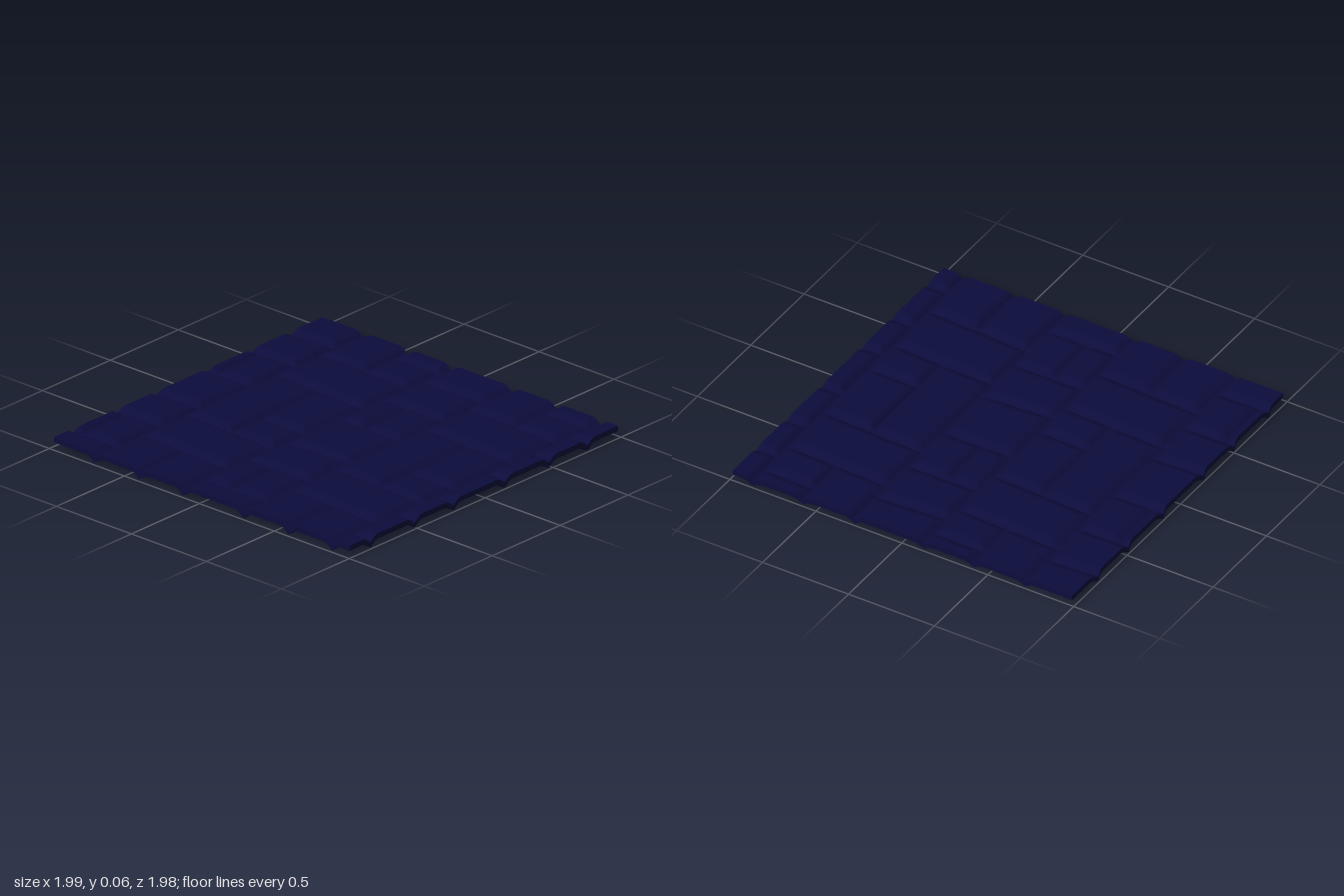
import * as THREE from 'three';
import { ParametricGeometry } from 'three/addons/geometries/ParametricGeometry.js';

// Tile extents, repeat of the paving pattern and groove section
const X0 = -0.988, X1 = 0.986, Z0 = -0.995, Z1 = 0.981;
const PERIOD = 0.988, TOP = 0.062, THICK = 0.028, DEPTH = 0.031, REACH = 0.06;
const N = 165;

// Joints between stones in one repeat: [xa, za, xb, zb]
const JOINTS = [
  [-0.70, -0.675, -0.71, -0.35], [-0.70, -0.35, -0.715, 0.31],  // long column joints
  [-0.12, -0.67, -0.12, 0.325],
  [-0.41, -0.345, -0.41, 0.31],                                 // split of the wide column
  [-0.70, -0.358, -0.41, -0.345], [-0.41, -0.345, -0.12, -0.332],
  [-0.70, 0.303, -0.41, 0.312], [-0.41, 0.312, -0.12, 0.326],
  [-0.41, 0.09, -0.12, 0.095],                                  // small square stone
  [-0.12, 0.225, 0.285, 0.20], [-0.12, 0.505, 0.285, 0.50],     // narrow column courses
  [-0.12, 0.83, 0.285, 0.825],
  [0.05, 0.505, 0.05, 0.83],                                    // split pair
];

// Repeat the joints over the whole tile, keeping only those that reach it
const joints = [];
for (const i of [-1, 0, 1]) for (const j of [-1, 0, 1]) {
  for (const [xa, za, xb, zb] of JOINTS) {
    const s = [xa + i * PERIOD, za + j * PERIOD, xb + i * PERIOD, zb + j * PERIOD];
    if (Math.max(s[0], s[2]) > -1.1 && Math.min(s[0], s[2]) < 1.1 &&
        Math.max(s[1], s[3]) > -1.1 && Math.min(s[1], s[3]) < 1.1) joints.push(s);
  }
}

// 0 on the flat of a stone, 1 at the bottom of a joint, rounded at the shoulder
function groove(x, z) {
  let best = REACH * REACH;
  for (const [xa, za, xb, zb] of joints) {
    const dx = xb - xa, dz = zb - za;
    const t = THREE.MathUtils.clamp(((x - xa) * dx + (z - za) * dz) / (dx * dx + dz * dz), 0, 1);
    const ex = x - xa - t * dx, ez = z - za - t * dz;
    best = Math.min(best, ex * ex + ez * ez);
  }
  return Math.pow(1 - Math.sqrt(best) / REACH, 2);
}

// Point on the shell: a, b run 0..1 along x and z, level 0 is the underside, 1 the top
function shellPoint(a, b, level, target) {
  const x = X0 + (X1 - X0) * a, z = Z0 + (Z1 - Z0) * b;
  const g = groove(x, z);
  target.set(x * (1 + 0.008 * g), TOP - THICK * (1 - level) - DEPTH * g, z + 0.008 * g);
}

export function createModel() {
  const group = new THREE.Group();
  group.name = 'pavingTile';
  const stone = new THREE.MeshStandardMaterial({ color: 0x0c0c3c });
  stone.name = 'navy stone';

  function add(name, fn, slices, stacks) {
    const geometry = new ParametricGeometry(fn, slices, stacks);
    geometry.computeVertexNormals();
    const mesh = new THREE.Mesh(geometry, stone);
    mesh.name = name;
    group.add(mesh);
  }

  // Cushioned stones above, matching ridges below
  add('stoneTop', (u, v, p) => shellPoint(v, u, 1, p), N, N);
  add('stoneUnderside', (u, v, p) => shellPoint(u, v, 0, p), N, N);

  // Thin rim closing the four sides
  add('frontRim', (u, v, p) => shellPoint(u, 1, v, p), N, 1);
  add('leftRim', (u, v, p) => shellPoint(1, 1 - u, v, p), N, 1);
  add('backRim', (u, v, p) => shellPoint(1 - u, 0, v, p), N, 1);
  add('rightRim', (u, v, p) => shellPoint(0, u, v, p), N, 1);

  return group;
}
